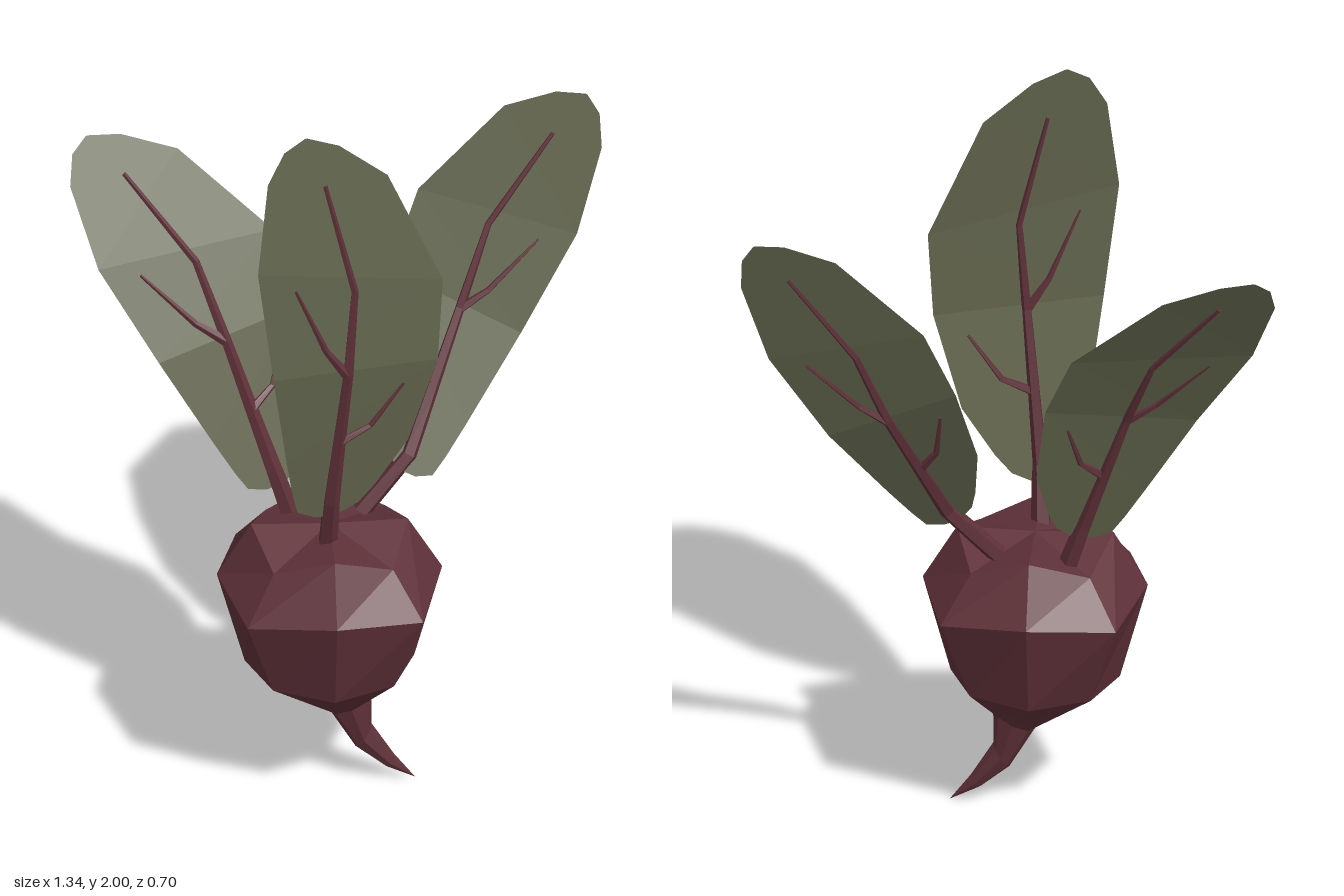
import * as THREE from 'three';

const beetRed = new THREE.MeshStandardMaterial({ color: 0x5f3139, flatShading: true });
beetRed.name = 'beet red';
const leafGreen = new THREE.MeshStandardMaterial({ color: 0x63664e, flatShading: true, side: THREE.DoubleSide });
leafGreen.name = 'leaf green';

const V = (x, y, z) => new THREE.Vector3(x, y, z);

// Skin a list of equal-length point rows; closed rows form a tube
function loft(rows, closed) {
  const n = rows[0].length, index = [];
  for (let i = 0; i < rows.length - 1; i++) {
    for (let j = 0; j < (closed ? n : n - 1); j++) {
      const k = (j + 1) % n, a = i * n + j, b = i * n + k;
      index.push(a, b, b + n, a, b + n, a + n);
    }
  }
  const geo = new THREE.BufferGeometry().setFromPoints(rows.flat());
  geo.setIndex(index);
  const flat = geo.toNonIndexed();
  flat.computeVertexNormals();
  return flat;
}

function named(geo, material, name) {
  const mesh = new THREE.Mesh(geo, material);
  mesh.name = name;
  return mesh;
}

// Bulb with curled root: eight-sided rings from the root tip to the crown
function makeBulb() {
  const cx = -0.055, cz = 0.065;
  const ring = (f) => Array.from({ length: 8 }, (_, i) => f(i * Math.PI / 4, i % 2));
  const tilted = (x, y, hx, hy, hz) => ring((a) =>
    V(x + Math.cos(a) * hx, y + Math.cos(a) * hy, cz - Math.sin(a) * hz));
  // radius and height on the axes, then on the diagonals
  const boxy = (r, y, rd, yd) => ring((a, diag) => {
    const q = diag ? rd : r;
    return V(cx + Math.cos(a) * q, diag ? yd : y, cz - Math.sin(a) * q);
  });
  return named(loft([
    tilted(0.16, 0, 0, 0, 0),
    tilted(0.095, 0.055, 0.012, 0.016, 0.02),
    tilted(0.03, 0.132, 0.02, 0.033, 0.035),
    tilted(-0.002, 0.235, 0.053, 0.025, 0.05),
    boxy(0.213, 0.365, 0.215, 0.37),
    boxy(0.283, 0.625, 0.312, 0.6),
    boxy(0.197, 0.77, 0.212, 0.715),
    boxy(0, 0.765, 0, 0.765),
  ], true), beetRed, 'bulbAndRoot');
}

// Tapered five-sided stalk along a list of points
function stalk(pts, r0, r1, name) {
  const last = pts.length - 1;
  const rows = pts.map((p, i) => {
    const t = pts[Math.min(i + 1, last)].clone().sub(pts[Math.max(i - 1, 0)]).normalize();
    const u = t.clone().cross(V(0, 0, 1)).normalize();
    const v = t.clone().cross(u);
    const r = r0 + (r1 - r0) * i / last;
    return Array.from({ length: 5 }, (_, j) => {
      const a = j * Math.PI * 0.4;
      return p.clone().addScaledVector(u, Math.cos(a) * r).addScaledVector(v, Math.sin(a) * r);
    });
  });
  rows.push(rows[last].map(() => pts[last].clone()));
  return named(loft(rows, true), beetRed, name);
}

// Leaf pattern shared by all leaves: across and along for the two edges
const outline = [
  [-0.04, 0.005, 0.01, 0],
  [-0.085, 0.03, 0.07, 0.03],
  [-0.1, 0.09, 0.11, 0.08],
  [-0.12, 0.2, 0.19, 0.21],
  [-0.165, 0.48, 0.255, 0.46],
  [-0.2, 0.795, 0.27, 0.69],
  [-0.165, 1.04, 0.14, 1.01],
  [-0.12, 1.12, 0.02, 1.115],
  [-0.066, 1.15, -0.06, 1.15],
];
const stemLine = [[0, 0.05], [0.01, 0.22], [0.025, 0.46], [0.045, 0.7], [-0.02, 1.01]];
const sideVeins = [
  [[0.022, 0.46], [-0.03, 0.54], [-0.105, 0.73]],
  [[0.01, 0.24], [0.09, 0.28], [0.17, 0.4]],
];

// Gentle fold of the blade along its length
function bend(t) {
  if (t < 0.46) return 0.06 * t / 0.46;
  if (t < 0.75) return 0.06 - 0.01 * (t - 0.46) / 0.29;
  return 0.05 * (1.15 - t) / 0.4;
}

// Place the pattern by its origin, its across and along directions and the stem foot
function makeLeaf(name, origin, across, along, foot) {
  const normal = across.clone().cross(along);
  const at = (s, t) => origin.clone().addScaledVector(across, s)
    .addScaledVector(along, t).addScaledVector(normal, bend(t));
  const path = (list) => list.map(([s, t]) => at(s, t));
  const leaf = new THREE.Group();
  leaf.name = name;
  leaf.add(named(loft(outline.map(([sl, tl, sr, tr]) => [at(sl, tl), at(sr, tr)]), false), leafGreen, 'blade'));
  leaf.add(stalk([foot, ...path(stemLine)], 0.026, 0.006, 'stem'));
  sideVeins.forEach((vein) => leaf.add(stalk(path(vein), 0.014, 0.004, 'sideVein')));
  return leaf;
}

export function createModel() {
  const model = new THREE.Group();
  model.name = 'beetroot';
  model.add(
    makeBulb(),
    makeLeaf('frontLeaf', V(-0.06, 0.85, 0.165), V(1, 0, -0.255), V(0, 1, 0.017), V(-0.065, 0.74, 0.13)),
    makeLeaf('leftLeaf', V(0.135, 0.84, -0.045), V(-0.756, 0.427, -0.175), V(0.379, 0.815, -0.271), V(0.03, 0.74, -0.025)),
    makeLeaf('rightLeaf', V(-0.17, 0.81, -0.05), V(0.866, 0.216, -0.337), V(-0.36, 0.777, -0.263), V(-0.15, 0.74, -0.045)),
  );
  return model;
}
